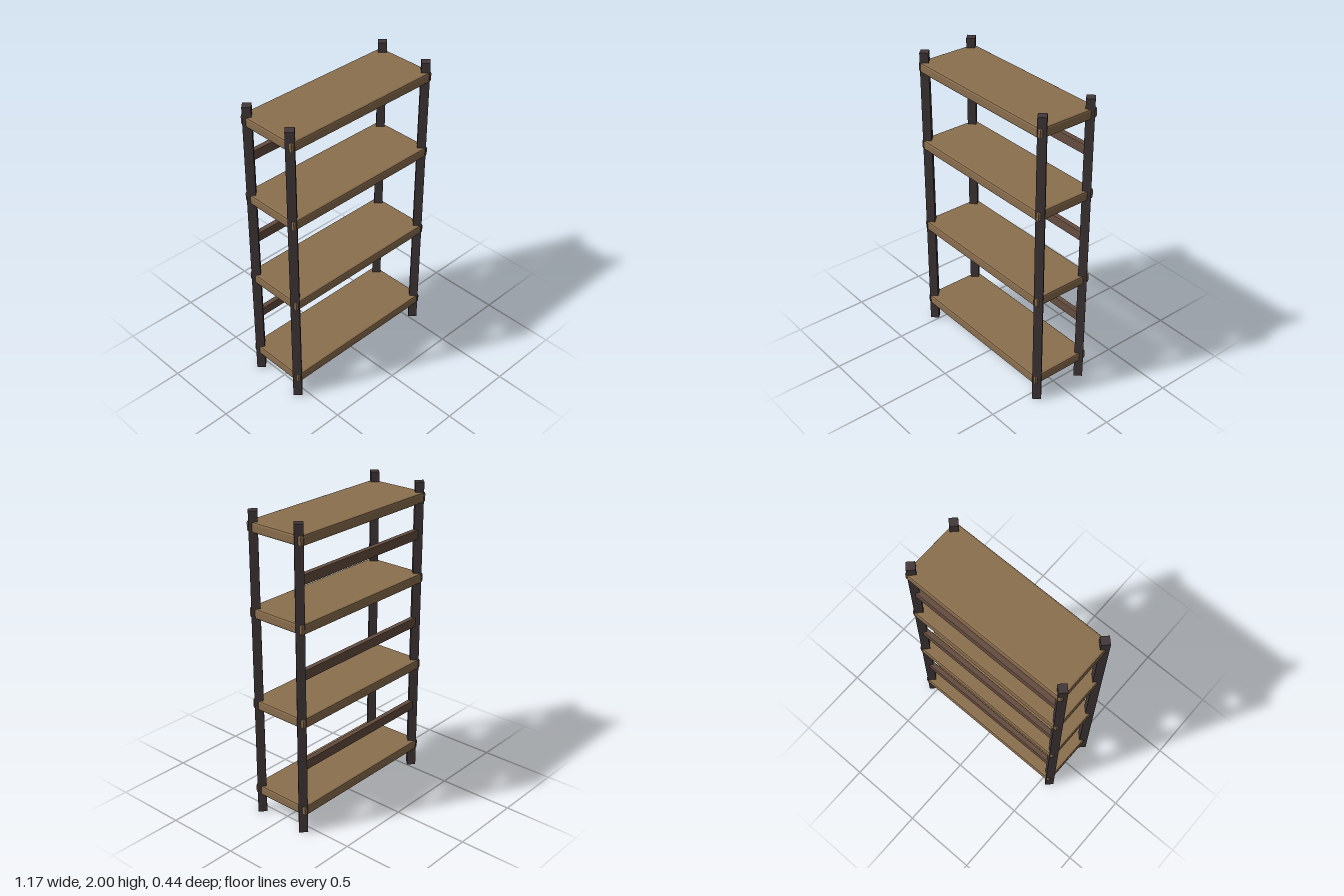
import * as THREE from 'three';
import { RoundedBoxGeometry } from 'three/addons/geometries/RoundedBoxGeometry.js';

function makeMaterial(name, color) {
  const m = new THREE.MeshStandardMaterial({ color, flatShading: true });
  m.name = name;
  return m;
}

export function createModel() {
  const group = new THREE.Group();
  group.name = 'shelvingUnit';

  const shelfWood = makeMaterial('shelf wood', 0x8b6f4e);
  const slatWood = makeMaterial('slat wood', 0x654d40);
  const postWood = makeMaterial('dark post wood', 0x43383a);

  const add = (name, geometry, material, x, y, z) => {
    const mesh = new THREE.Mesh(geometry, material);
    mesh.name = name;
    mesh.position.set(x, y, z);
    group.add(mesh);
  };

  // Four slightly tapered square posts, turned corner-outwards
  const postGeometry = new THREE.CylinderGeometry(0.038, 0.04, 2, 4);
  for (const [side, x] of [['Left', 0.544], ['Right', -0.544]]) {
    for (const [end, z] of [['front', 0.178], ['back', -0.178]]) {
      add(`${end}${side}Post`, postGeometry, postWood, x, 1, z);
    }
  }

  // Shelves with softened edges
  const shelfGeometry = new RoundedBoxGeometry(1.134, 0.067, 0.428, 1, 0.013);
  [0.156, 0.763, 1.37, 1.902].forEach((y, i) => {
    add(`shelf${i + 1}`, shelfGeometry, shelfWood, 0, y, -0.001);
  });

  // Back slats, let into the rear posts
  const slatGeometry = new RoundedBoxGeometry(1.07, 0.065, 0.036, 1, 0.006);
  [0.462, 1.067, 1.663].forEach((y, i) => {
    add(`backSlat${i + 1}`, slatGeometry, slatWood, 0, y, -0.178);
  });

  return group;
}
